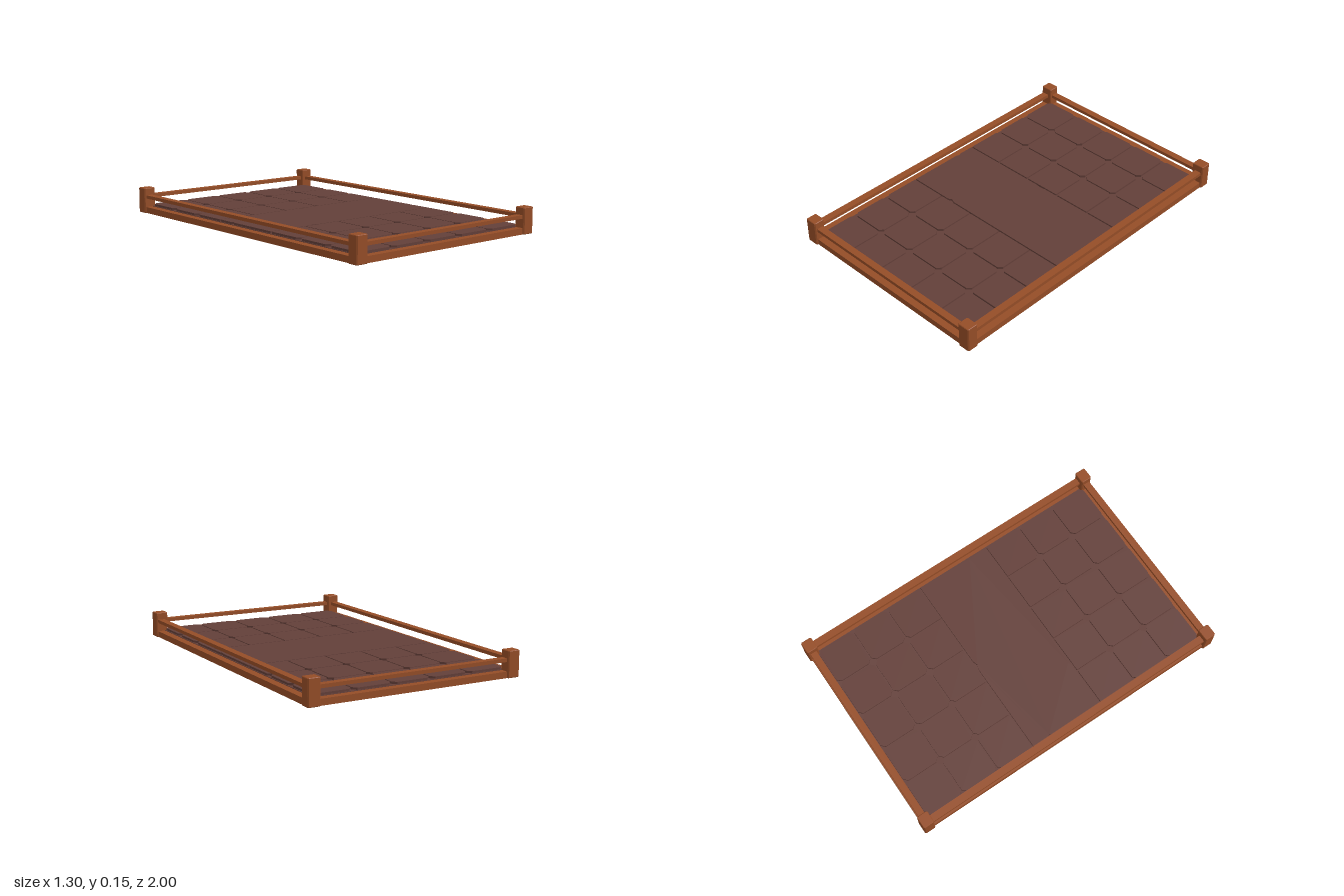
import * as THREE from 'three';

const wood = new THREE.MeshStandardMaterial({ color: 0x954d27, side: THREE.DoubleSide });
wood.name = 'wood';
const tileBrown = new THREE.MeshStandardMaterial({ color: 0x633f39 });
tileBrown.name = 'tile brown';

const PITCH = 0.237;      // tile spacing
const GAP = 0.004;        // half the joint width
const CUT = 0.022;        // clipped tile corner
const BACK_SHIFT = 0.005; // the rear rows sit slightly forward

function add(parent, name, geometry, material, x = 0, y = 0, z = 0) {
  const mesh = new THREE.Mesh(geometry, material);
  mesh.name = name;
  mesh.position.set(x, y, z);
  parent.add(mesh);
  return mesh;
}

// Upright prism standing on y = 0 from a list of [x, z] points
function prism(points, height, bevel = 0) {
  const shape = new THREE.Shape(points.map(([x, z]) => new THREE.Vector2(x, -z)));
  const geometry = new THREE.ExtrudeGeometry(shape, {
    depth: height - 2 * bevel, bevelEnabled: bevel > 0, bevelSegments: 1,
    bevelSize: bevel, bevelThickness: bevel, bevelOffset: -bevel,
  });
  return geometry.rotateX(-Math.PI / 2).translate(0, bevel, 0);
}

// The same prism without its bottom lid, whose triangles come first
function openPrism(points, height, bevel = 0) {
  const geometry = prism(points, height, bevel);
  const lid = (points.length - 2) * 3;
  for (const [name, attribute] of Object.entries(geometry.attributes)) {
    const size = attribute.itemSize;
    geometry.setAttribute(name, new THREE.BufferAttribute(attribute.array.slice(lid * size), size));
  }
  geometry.clearGroups();
  return geometry;
}

const rectangle = (w, d) => [[-w / 2, -d / 2], [w / 2, -d / 2], [w / 2, d / 2], [-w / 2, d / 2]];

// Square outline with its back and front corners clipped
function tilePoints(back, front) {
  const h = PITCH / 2 - GAP;
  return [
    [-h, -h + back], [-h + back, -h], [h - back, -h], [h, -h + back],
    [h, h - front], [h - front, h], [-h + front, h], [-h, h - front],
  ];
}

function createFloor() {
  const floor = new THREE.Group();
  floor.name = 'floor';
  // Wooden underside, and the bed seen in the joints
  add(floor, 'underside', new THREE.BoxGeometry(1.19, 0.003, 1.89), wood, 0, 0.0295, 0);
  add(floor, 'tileBed', new THREE.BoxGeometry(1.19, 0.008, 1.89), tileBrown, 0, 0.035, 0);

  // Three rows of five tiles at each end
  for (const side of [-1, 1]) {
    for (let row = 0; row < 3; row++) {
      const z = side * PITCH * (row + 1.5) + (side < 0 ? BACK_SHIFT : 0);
      const inner = row === 0 ? 0.003 : CUT;
      const points = side > 0 ? tilePoints(inner, CUT) : tilePoints(CUT, inner);
      const tile = prism(points, 0.012);
      for (let col = -2; col <= 2; col++) add(floor, 'tile', tile, tileBrown, col * PITCH, 0.039, z);
    }
  }

  // Plain middle slab with a small chip in each edge
  const w = PITCH * 2.5 - GAP, front = PITCH - GAP, back = -front + BACK_SHIFT;
  add(floor, 'middleSlab', prism([
    [-w, back], [-0.03, back], [0, back + 0.01], [0.03, back],
    [w, back], [w, 0.1], [w - 0.01, 0.115], [w, 0.13],
    [w, front], [-0.26, front], [-0.29, front - 0.012], [-0.31, front],
    [-w, front], [-w, -0.1], [-w + 0.01, -0.115], [-w, -0.13],
  ], 0.012), tileBrown, 0, 0.039, 0);
  return floor;
}

function createFrame() {
  const frame = new THREE.Group();
  frame.name = 'frame';
  const sideSill = openPrism(rectangle(0.045, 1.9), 0.036);
  const endSill = openPrism(rectangle(1.18, 0.045), 0.036);
  const sideRail = new THREE.BoxGeometry(0.042, 0.02, 1.9);
  const endRail = new THREE.BoxGeometry(1.18, 0.02, 0.04);

  // Chamfered corner post, open underneath
  const a = 0.0375, b = 0.0335, c = 0.006;
  const post = openPrism([
    [-a, -b + c], [-a + c, -b], [a - c, -b], [a, -b + c],
    [a, b - c], [a - c, b], [-a + c, b], [-a, b - c],
  ], 0.15, 0.003);

  for (const s of [-1, 1]) {
    add(frame, 'sideSill', sideSill, wood, s * 0.6175, 0, 0);
    add(frame, 'sideRail', sideRail, wood, s * 0.6175, 0.098, 0);
    add(frame, 'endSill', endSill, wood, 0, 0, s * 0.9665);
    add(frame, 'endRail', endRail, wood, 0, 0.098, s * 0.9665);
    for (const t of [-1, 1]) add(frame, 'cornerPost', post, wood, s * 0.6125, 0, t * 0.9665);
  }
  return frame;
}

export function createModel() {
  const model = new THREE.Group();
  model.name = 'railedPlatform';
  model.add(createFloor(), createFrame());
  return model;
}
